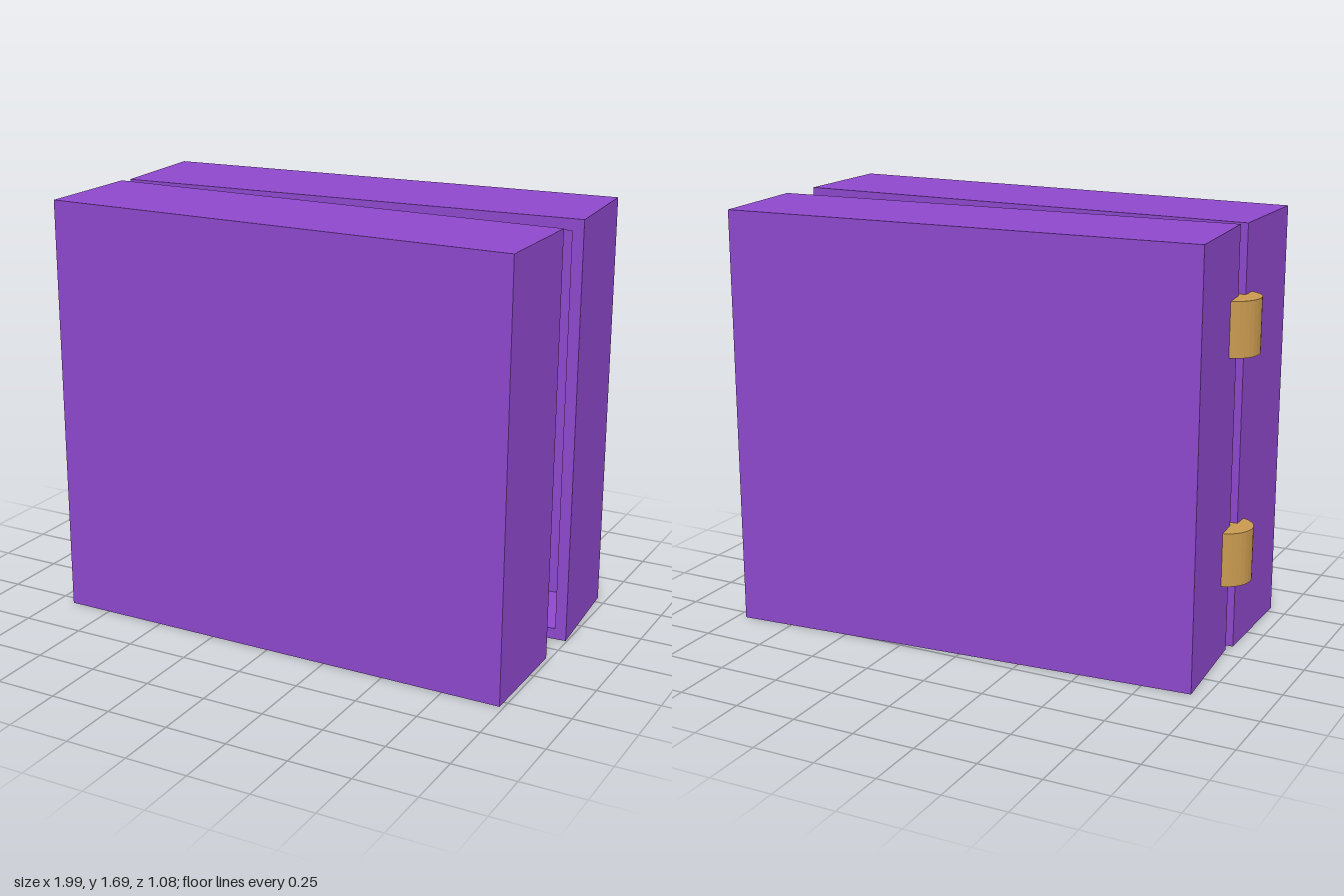
import * as THREE from 'three';

const W = 1.912, H = 1.69, D = 0.453; // outer size of each half
const RIM = 0.045, CAVITY = 0.338; // wall thickness and inner depth

const purple = new THREE.MeshStandardMaterial({ color: 0x8e48cc });
const brass = new THREE.MeshStandardMaterial({ color: 0xc8994f, flatShading: true });

function rectangle(path, x, y) {
  path.moveTo(-x, -y);
  path.lineTo(x, -y);
  path.lineTo(x, y);
  path.lineTo(-x, y);
  path.closePath();
  return path;
}

// Hollow tray, centred on x, standing on y = 0, opening towards -z at z = 0
function makeTray(name) {
  const tray = new THREE.Group();
  tray.name = name;

  const outline = rectangle(new THREE.Shape(), W / 2, H / 2);
  outline.holes.push(rectangle(new THREE.Path(), W / 2 - RIM, H / 2 - RIM));
  const walls = new THREE.Mesh(
    new THREE.ExtrudeGeometry(outline, { depth: CAVITY, bevelEnabled: false }), purple);
  walls.name = name + 'Walls';
  walls.position.y = H / 2;

  const panel = new THREE.Mesh(new THREE.BoxGeometry(W, H, D - CAVITY), purple);
  panel.name = name + 'Panel';
  panel.position.set(0, H / 2, (D + CAVITY) / 2);

  tray.add(walls, panel);
  return tray;
}

export function createModel() {
  const model = new THREE.Group();
  model.name = 'hingedCase';

  // Fixed front half
  const front = makeTray('frontHalf');
  front.position.set(0.028, 0, 0.087);
  model.add(front);

  // Rear half, swung slightly open about its hinged corner
  const swing = new THREE.Group();
  swing.name = 'rearHalfSwing';
  swing.position.set(-0.912, 0, 0.05);
  swing.rotation.y = 0.0735;
  const rear = makeTray('rearHalf');
  rear.rotation.y = Math.PI;
  rear.position.x = W / 2;
  swing.add(rear);
  model.add(swing);

  // Two hinge barrels
  for (const [name, y] of [['lowerHinge', 0.408], ['upperHinge', 1.312]]) {
    const hinge = new THREE.Mesh(new THREE.CylinderGeometry(0.108, 0.108, 0.216, 32), brass);
    hinge.name = name;
    hinge.position.set(-0.892, y, 0.055);
    model.add(hinge);
  }

  return model;
}
